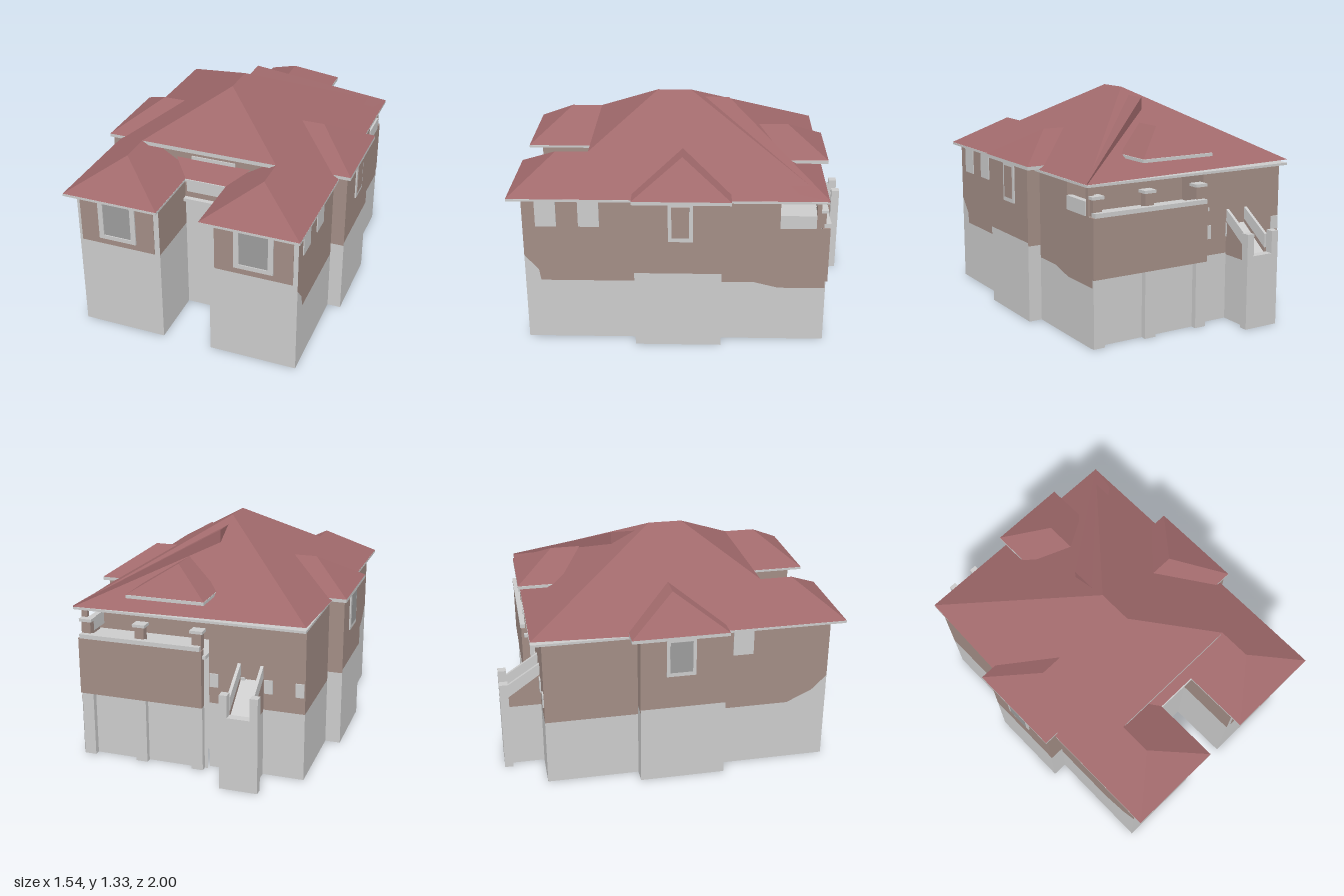
import * as THREE from 'three';

const mat = (color) => new THREE.MeshStandardMaterial({ color, side: THREE.DoubleSide, flatShading: true });
const GREY = mat(0xcccccc), GLASS = mat(0x9c9c9c), BRICK = mat(0xa28d85), TILE = mat(0xa0696b);

export function createModel() {
  const house = new THREE.Group();
  house.name = 'house';

  const add = (parent, name, geo, material) => {
    const m = new THREE.Mesh(geo, material);
    m.name = name;
    parent.add(m);
    return m;
  };

  // Box given by its extents
  const box = (name, x0, x1, y0, y1, z0, z1, material = GREY, parent = house) =>
    add(parent, name, new THREE.BoxGeometry(x1 - x0, y1 - y0, z1 - z0), material)
      .position.set((x0 + x1) / 2, (y0 + y1) / 2, (z0 + z1) / 2);

  // Flat roof face as a fan around its first corner, turned to face upward
  const face = (name, pts, material = TILE) => {
    const [a, b, c] = pts;
    const up = (b[2] - a[2]) * (c[0] - a[0]) - (b[0] - a[0]) * (c[2] - a[2]);
    const tri = [];
    for (let i = 1; i < pts.length - 1; i++) {
      tri.push(...a, ...(up >= 0 ? [...pts[i], ...pts[i + 1]] : [...pts[i + 1], ...pts[i]]));
    }
    const g = new THREE.BufferGeometry();
    g.setAttribute('position', new THREE.Float32BufferAttribute(tri, 3));
    g.computeVertexNormals();
    return add(house, name, g, material);
  };

  // Horizontal slab from an outline of [x, z] points
  const slab = (name, outline, top, thick) => {
    const shape = new THREE.Shape(outline.map(([x, z]) => new THREE.Vector2(x, z)));
    const g = new THREE.ExtrudeGeometry(shape, { depth: thick, bevelEnabled: false });
    add(house, name, g.rotateX(Math.PI / 2), GREY).position.y = top;
  };

  // Wall from a to b ([x, z]): grey below the split line, brick above it.
  // Points of the split line are [distance along the wall, height].
  const wall = (name, a, b, split, top = 0.9) => {
    const g = new THREE.Group();
    const len = Math.hypot(b[0] - a[0], b[1] - a[1]);
    g.name = name;
    g.position.set(a[0], 0, a[1]);
    g.rotation.y = -Math.atan2(b[1] - a[1], b[0] - a[0]);
    house.add(g);
    const line = typeof split === 'number' ? [[0, split], [len, split]] : split;
    const flat = (pts) => new THREE.ShapeGeometry(new THREE.Shape(pts.map((p) => new THREE.Vector2(...p))));
    add(g, 'lowerWall', flat([[0, 0], [len, 0], ...[...line].reverse()]), GREY);
    if (split !== top) add(g, 'upperWall', flat([...line, [len, top], [0, top]]), BRICK);
    return g;
  };
  const pane = (g, name, u0, u1, y0, y1, d, material) => box(name, u0, u1, y0, y1, -0.005, d, material, g);

  // Front wings: grey surround, brick field, framed window
  for (const [x0, x1] of [[-0.66, -0.15], [0.15, 0.67]]) {
    const w = wall('frontWingWall', [x0, 0.92], [x1, 0.92], 0.9);
    const c = x0 < 0 ? 0.25 : 0.265;
    pane(w, 'brickField', c - 0.232, c + 0.228, 0.575, 0.895, 0.003, BRICK);
    for (const s of [-1, 1]) {
      const u = c + s * 0.1;
      pane(w, 'windowJamb', u - 0.015, u + 0.015, 0.615, 0.895, 0.012, GREY);
    }
    pane(w, 'windowSill', c - 0.115, c + 0.115, 0.615, 0.64, 0.012, GREY);
    pane(w, 'windowGlass', c - 0.085, c + 0.085, 0.64, 0.895, 0.006, GLASS);
  }

  // Right side walls, front to back
  const rightWing = wall('rightWingWall', [0.67, 0.92], [0.67, 0.28],
    [[0, 0.54], [0.08, 0.45], [0.09, 0.38], [0.64, 0.38]]);
  for (const u of [0.075, 0.32]) pane(rightWing, 'sideWindow', u, u + 0.12, 0.73, 0.9, 0.006, GREY);
  wall('rightRearWall', [0.67, -0.22], [0.67, -0.55], [[0, 0.38], [0.19, 0.38], [0.33, 0.345]]);
  wall('rightPorchWall', [0.67, -0.55], [0.67, -0.82], 0.345, 0.73);

  // Left side walls, back to front
  wall('leftRearWall', [-0.66, -0.76], [-0.66, -0.22], 0.4);
  const leftWing = wall('leftWingWall', [-0.66, 0.28], [-0.66, 0.92],
    [[0, 0.38], [0.4, 0.38], [0.55, 0.45], [0.64, 0.54]]);
  pane(leftWing, 'sideWindow', 0.06, 0.18, 0.73, 0.9, 0.006, GREY);

  // Side bays with a framed window each
  for (const s of [1, -1]) {
    const outer = 0.75 * s, inner = s > 0 ? 0.67 : -0.66;
    const ends = s > 0 ? [0.28, -0.22] : [-0.22, 0.28];
    const bay = wall('bayWall', [outer, ends[0]], [outer, ends[1]], 0.475, 0.92);
    const c = s > 0 ? 0.265 : 0.235, h = s > 0 ? 0.07 : 0.085;
    pane(bay, 'bayWindowFrame', c - h, c + h, 0.68, 0.91, 0.008, GREY);
    pane(bay, 'bayWindowGlass', c - h + 0.02, c + h - 0.02, 0.705, 0.895, 0.011, s > 0 ? BRICK : GLASS);
    for (const z of [0.28, -0.22]) {
      const run = [[inner, z], [outer, z]];
      if ((s > 0) !== (z > 0)) run.reverse();
      wall('bayReturn', run[0], run[1], 0.455, 0.92);
    }
  }

  // Entrance court between the wings
  wall('courtLeftWall', [-0.15, 0.92], [-0.15, 0.5], 0.575);
  wall('courtRightWall', [0.15, 0.5], [0.15, 0.92], 0.575);
  const entry = wall('entranceWall', [-0.15, 0.55], [0.15, 0.55], 0.745);
  pane(entry, 'entranceLedge', 0, 0.3, 0.742, 0.762, 0.03, GREY);
  pane(entry, 'entranceLight', 0.012, 0.288, 0.8, 0.9, 0.006, GREY);
  box('clerestoryWall', -0.39, 0.39, 0.9, 1.065, 0.46, 0.475, BRICK);
  box('clerestoryWindow', -0.135, 0.135, 0.92, 0.995, 0.47, 0.482);
  face('courtRoof', [[-0.23, 0.975, 0.48], [-0.13, 0.905, 0.605], [0.13, 0.905, 0.605], [0.23, 0.975, 0.48]]);
  box('clerestoryFascia', -0.41, 0.41, 1.06, 1.084, 0.545, 0.56);

  // Rear wall and porch
  wall('rearWall', [-0.1, -0.76], [-0.66, -0.76], 0.4);
  for (const x of [-0.13, -0.29, -0.45, -0.63]) box('wallBlock', x - 0.025, x + 0.025, 0.5, 0.58, -0.768, -0.755);
  wall('porchBackWall', [0.67, -0.55], [-0.1, -0.55], 0.7);
  wall('porchSideWall', [-0.1, -0.55], [-0.1, -0.76], 0.4);
  box('porchFloor', -0.1, 0.66, 0.68, 0.7, -0.82, -0.55);
  wall('porchLowerWall', [0.67, -0.79], [-0.1, -0.79], 0.39, 0.39);
  box('porchPanel', -0.08, 0.67, 0.39, 0.73, -0.835, -0.79, BRICK);
  box('porchRail', -0.07, 0.66, 0.73, 0.755, -0.84, -0.8);
  box('porchSideParapet', 0.64, 0.675, 0.73, 0.81, -0.755, -0.55);
  box('porchCornerPost', 0.635, 0.67, 0.73, 0.9, -0.78, -0.755, BRICK);
  for (const x of [-0.045, 0.3, 0.63]) {
    box('porchPilaster', x - 0.035, x + 0.035, 0, 0.39, -0.825, -0.785);
    box('porchPost', x - 0.028, x + 0.028, 0.73, 0.825, -0.81, -0.765, BRICK);
    box('porchPostCap', x - 0.038, x + 0.038, 0.825, 0.842, -0.82, -0.755);
  }

  // Rear chute: body, sloping floor, brick cheeks and end pier
  box('chuteBody', -0.42, -0.27, 0, 0.39, -0.95, -0.76);
  face('chuteFloor', [[-0.4, 0.57, -0.76], [-0.29, 0.57, -0.76], [-0.29, 0.42, -0.96], [-0.4, 0.42, -0.96]], GREY);
  const cheek = (y0, y1, y2, y3) => new THREE.ExtrudeGeometry(new THREE.Shape([
    new THREE.Vector2(0.76, y0), new THREE.Vector2(0.95, y1),
    new THREE.Vector2(0.95, y2), new THREE.Vector2(0.76, y3)]), { depth: 0.018, bevelEnabled: false })
    .rotateY(Math.PI / 2);
  for (const x of [-0.42, -0.288]) {
    add(house, 'chuteCheek', cheek(0.39, 0.39, 0.455, 0.59), BRICK).position.x = x;
    add(house, 'chuteCoping', cheek(0.59, 0.455, 0.535, 0.66), GREY).position.x = x;
  }
  box('chutePier', -0.42, -0.28, 0, 0.43, -1, -0.95);
  for (const x of [-0.46, -0.285]) box('chutePierSide', x, x + 0.045, 0, 0.56, -1, -0.95);

  // Eaves
  slab('eaves', [[0.125, 0.605], [0.125, 1], [0.7, 1], [0.7, -0.82], [-0.67, -0.82], [-0.67, 0.3],
    [-0.7, 0.3], [-0.7, 1], [-0.125, 1], [-0.125, 0.605]], 0.909, 0.014);

  // Main hipped roof; its side slopes run on over the front wings
  const ridge = 1.33, sideY = (x) => ridge - 0.6 * Math.abs(x);
  const wy = sideY(0.41), ey = sideY(0.7);
  for (const s of [1, -1]) {
    const rear = s > 0 ? 0.7 : 0.67;
    face('sideSlope', [[s * rear, sideY(rear), -0.82], [s * rear, sideY(rear), -0.27], [s * 0.7, ey, 0.3],
      [s * 0.7, ey, 1], [s * 0.41, wy, 0.75], [s * 0.41, wy, 0.56], [0, ridge, 0.17], [0, ridge, -0.03]]);
    face('wingFrontSlope', [[s * 0.41, wy, 0.75], [s * 0.7, ey, 1], [s * 0.125, ey, 1]]);
    face('wingInnerSlope', [[s * 0.41, wy, 0.75], [s * 0.125, ey, 1], [s * 0.125, ey, 0.5], [s * 0.41, wy, 0.5]]);

    // Bay roof with its eave slab
    const p = (x, y, z) => [s * x, y, z];
    slab('bayEaves', [[s * 0.6, 0.29], [s * 0.77, 0.29], [s * 0.77, -0.27], [s * 0.6, -0.27]], 0.932, 0.02);
    face('bayEndSlope', [p(0.52, 1.1, 0.01), p(0.77, 0.932, 0.29), p(0.77, 0.932, -0.27)]);
    for (const z of [0.29, -0.27]) {
      face('baySideSlope', [p(0.52, 1.1, 0.01), p(0.77, 0.932, z), p(0.65, 0.932, z), p(0.37, 1.1, 0.01)]);
    }
  }
  face('frontSlope', [[0, ridge, 0.17], [-0.41, wy, 0.56], [0.41, wy, 0.56]]);
  face('rearSlope', [[0, ridge, -0.03], [0.7, ey, -0.82], [-0.67, sideY(0.67), -0.82]]);

  // Raised strip beside the right rear hip, with upright edges
  const strip = [[0, 1.285, -0.11], [0, 1.285, -0.26], [0.7, 0.917, -0.82], [0.66, 0.938, -0.65]];
  face('hipStrip', strip);
  const low = (p) => [p[0], Math.min(p[1], 0.91 + 0.53 * (p[2] + 0.82)) - 0.005, p[2]];
  face('hipStripRearEdge', [strip[1], low(strip[1]), low(strip[2]), strip[2]]);
  face('hipStripEnd', [strip[0], low(strip[0]), low(strip[1]), strip[1]]);

  // Raised roof over the rear porch
  const d = [0.13, 1.16, -0.615], dn = [0.13, 1.16, -0.44];
  face('porchRoofEnd', [d, [-0.1, 1.02, -0.84], [0.36, 1.02, -0.84]]);
  for (const x of [-0.1, 0.36]) face('porchRoofSide', [d, [x, 1.02, -0.84], [x, 1.02, -0.6], dn]);
  slab('porchRoofEaves', [[-0.1, -0.84], [0.36, -0.84], [0.36, -0.62], [-0.1, -0.62]], 1.018, 0.018);

  return house;
}
